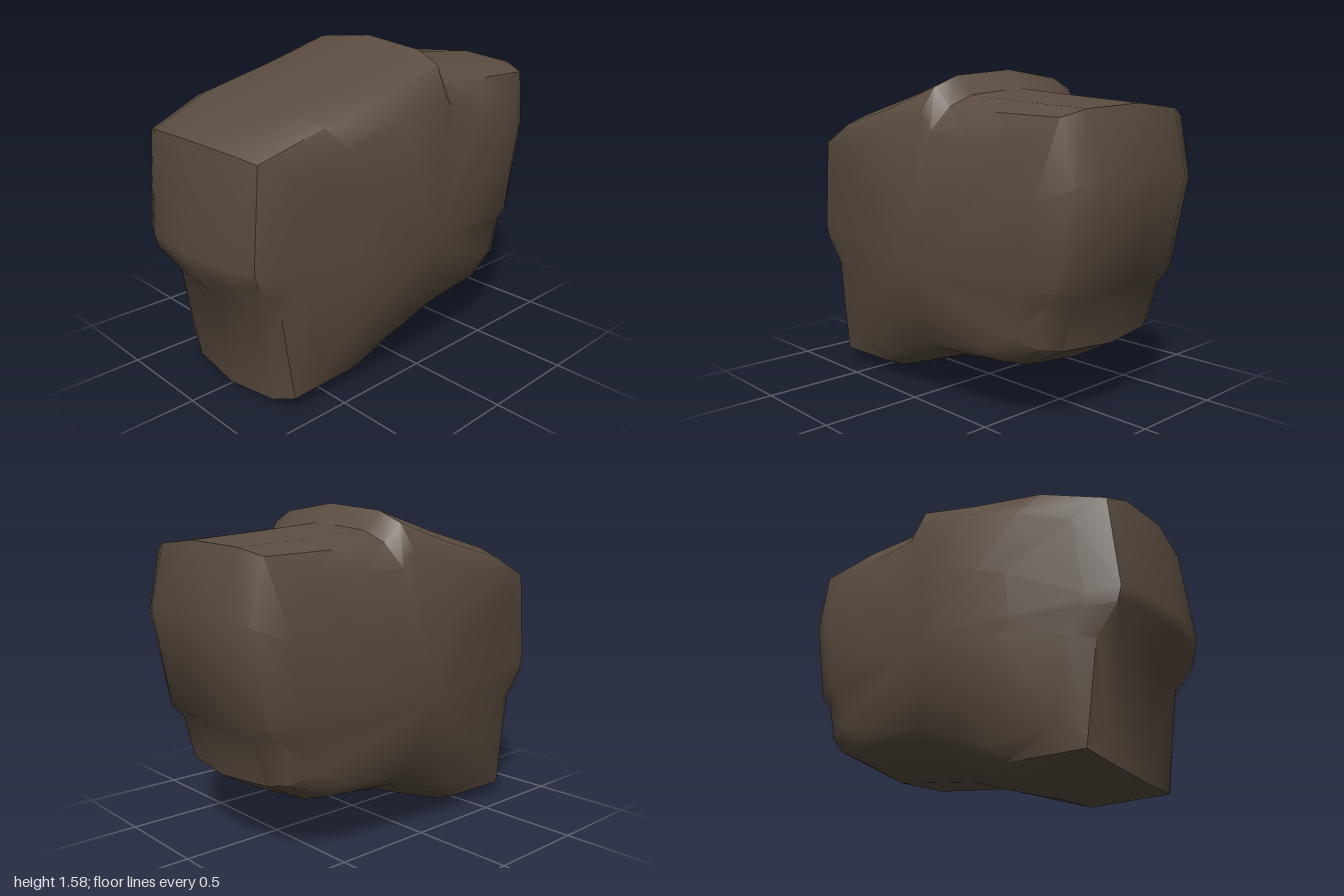
import * as THREE from 'three';
import { toCreasedNormals } from 'three/addons/utils/BufferGeometryUtils.js';

// Centre outline, counterclockwise: x, y, half depth at the rim, half depth on the flank
const outline = [
  [-0.78, 0.01, 0.4, 0.44], [-0.37, 0.0, 0.4, 0.44], [-0.12, 0.08, 0.41, 0.46],
  [0.14, 0.17, 0.42, 0.47], [0.6, 0.24, 0.42, 0.47], [0.8, 0.35, 0.4, 0.46],
  [0.86, 0.57, 0.4, 0.47], [0.92, 0.64, 0.4, 0.48], [1.0, 1.12, 0.4, 0.48],
  [0.92, 1.42, 0.42, 0.48], [0.55, 1.455, 0.45, 0.52], [0.22, 1.49, 0.43, 0.52],
  [0.14, 1.58, 0.46, 0.53], [-0.22, 1.48, 0.47, 0.54], [-0.63, 1.38, 0.46, 0.52],
  [-0.95, 1.25, 0.4, 0.46], [-1.0, 0.75, 0.4, 0.45], [-0.98, 0.67, 0.4, 0.45],
  [-0.87, 0.52, 0.4, 0.45],
];
const CX = 0, CY = 0.68, DEPTH = 0.6;

// Moves an outline point towards the middle by a distance
function inset([x, y], amount) {
  const dx = CX - x, dy = CY - y, len = Math.hypot(dx, dy);
  return [x + dx / len * amount, y + dy / len * amount];
}

// Moves an outline point towards the middle by a ratio
function shrink([x, y], s) {
  return [CX + (x - CX) * s, CY + (y - CY) * s];
}

// Half of the cross-sections, from the middle plane out to the flank
const sections = [
  p => [p[0], p[1], 0],
  p => [...inset(p, 0.035), p[2] * 0.72],
  p => [...inset(p, 0.09), p[2]],
  p => [...shrink(p, 0.76), p[3]],
  p => [...shrink(p, 0.42), p[3] * 0.5 + DEPTH * 0.475],
];

function bodyGeometry() {
  const n = outline.length, positions = [], index = [];
  const rings = [];
  for (let k = sections.length - 1; k > 0; k--) rings.push([sections[k], -1]);
  for (const section of sections) rings.push([section, 1]);
  for (const [section, side] of rings) {
    for (const p of outline) {
      const [x, y, z] = section(p);
      positions.push(x, y, z * side);
    }
  }
  // Skin between neighbouring sections
  for (let k = 0; k < rings.length - 1; k++) {
    for (let i = 0; i < n; i++) {
      const j = (i + 1) % n;
      const a = k * n + i, b = k * n + j, c = b + n, d = a + n;
      if (k < rings.length / 2 - 1) index.push(a, b, c, a, c, d);
      else index.push(a, b, d, b, c, d);
    }
  }
  // Close both flanks at their widest points
  const back = rings.length * n, front = back + 1, last = (rings.length - 1) * n;
  positions.push(CX, CY, -DEPTH, CX, CY, DEPTH);
  for (let i = 0; i < n; i++) {
    const j = (i + 1) % n;
    index.push(back, j, i, front, last + i, last + j);
  }
  const geometry = new THREE.BufferGeometry();
  geometry.setAttribute('position', new THREE.Float32BufferAttribute(positions, 3));
  geometry.setIndex(index);
  return toCreasedNormals(geometry, 0.75);
}

export function createModel() {
  const group = new THREE.Group();
  group.name = 'boulder';
  const darkBrown = new THREE.MeshStandardMaterial({ color: 0x5a4c40 });
  darkBrown.name = 'darkBrown';
  const body = new THREE.Mesh(bodyGeometry(), darkBrown);
  body.name = 'body';
  group.add(body);
  return group;
}
